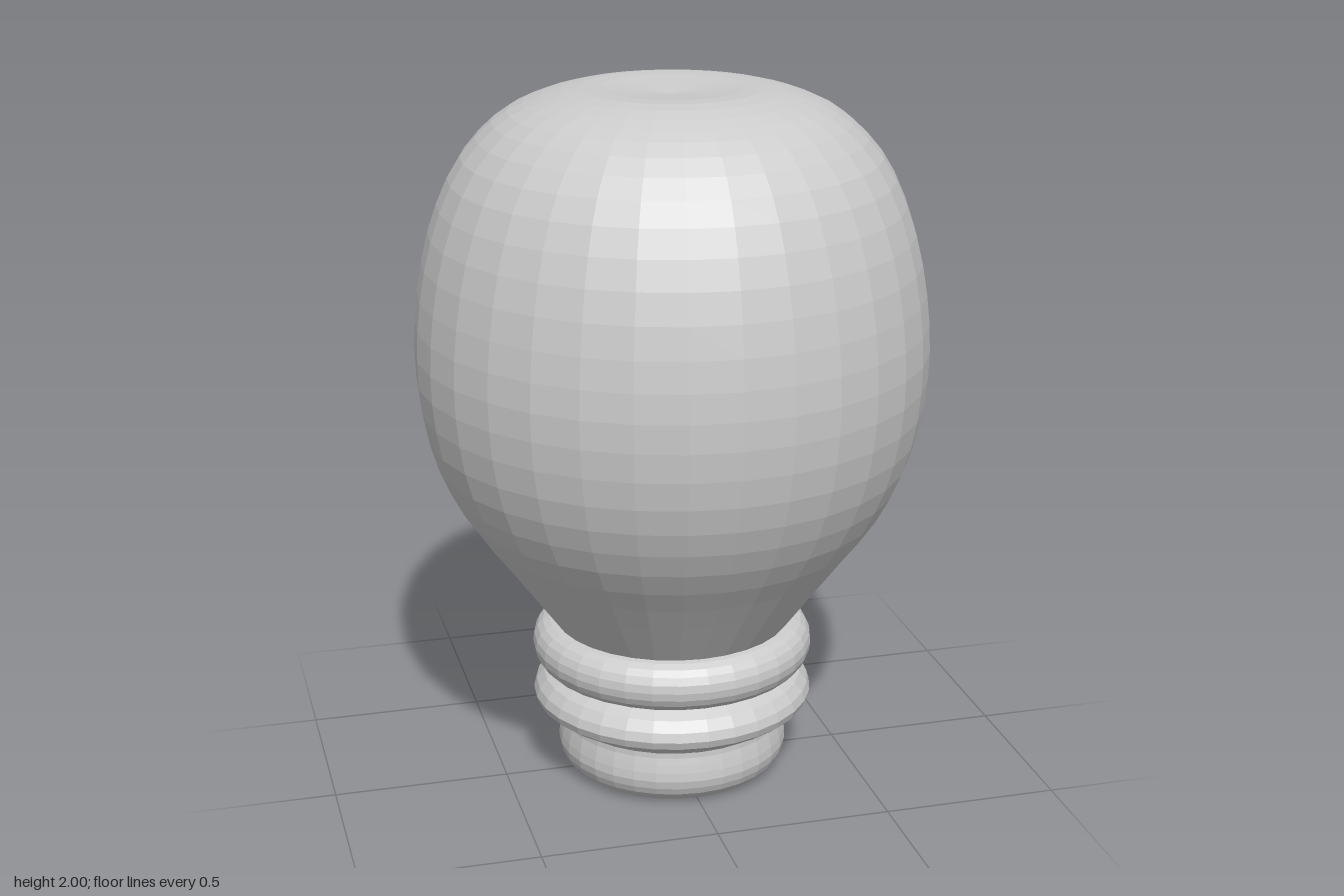
import * as THREE from 'three';

const SEGMENTS = 32;

// Flat-shaded solid of revolution from [radius, height] pairs, bottom to top
function turned(name, profile) {
  const points = profile.map(([r, y]) => new THREE.Vector2(r, y));
  const material = new THREE.MeshStandardMaterial({ color: 0xcccccc, flatShading: true });
  const mesh = new THREE.Mesh(new THREE.LatheGeometry(points, SEGMENTS), material);
  mesh.name = name;
  return mesh;
}

// Smooth curve through a few profile points
function smooth(profile, divisions) {
  const curve = new THREE.SplineCurve(profile.map(([r, y]) => new THREE.Vector2(r, y)));
  return curve.getPoints(divisions).map((p) => [p.x, p.y]);
}

// Half-round bulge of the screw thread, centred at the given height
function thread(y) {
  const ring = [];
  for (let i = 0; i <= 10; i++) {
    const a = -Math.PI / 2 + (i / 10) * Math.PI;
    ring.push([0.335 + 0.07 * Math.cos(a), y + 0.074 * Math.sin(a)]);
  }
  return ring;
}

export function createModel() {
  const group = new THREE.Group();
  group.name = 'lightBulb';

  // Glass: narrow neck, wide shoulder, flattened top with a faint dimple
  group.add(turned('glassBulb', smooth([
    [0.335, 0.455], [0.47, 0.64], [0.6, 0.82], [0.68, 1.0], [0.715, 1.2],
    [0.71, 1.4], [0.67, 1.61], [0.595, 1.79], [0.49, 1.91], [0.38, 1.97],
    [0.25, 2.0], [0.12, 1.992], [0, 1.98],
  ], 30)));

  // Cap: rounded foot under two stacked thread bulges
  const foot = smooth([
    [0.29, 0.006], [0.32, 0.035], [0.334, 0.08], [0.327, 0.13], [0.322, 0.165], [0.345, 0.187],
  ], 10);
  group.add(turned('screwCap', [
    [0, 0], [0.08, 0], [0.29, 0.006],
    ...foot.slice(1),
    [0.375, 0.198], [0.397, 0.215], [0.405, 0.238], [0.397, 0.264], [0.375, 0.292], [0.345, 0.31],
    ...thread(0.388),
    [0, 0.462],
  ]));

  return group;
}
